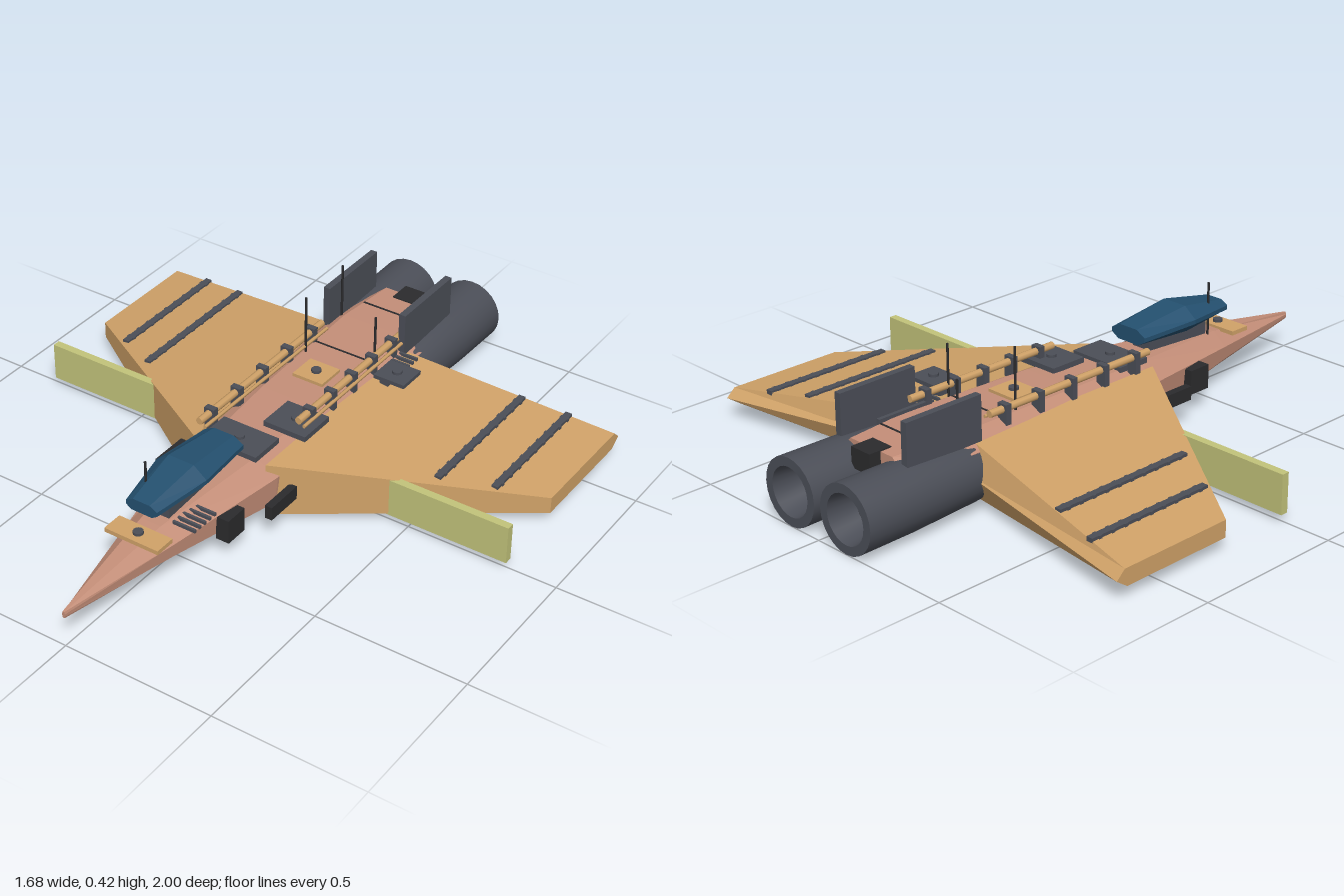
import * as THREE from 'three';
import { toCreasedNormals } from 'three/addons/utils/BufferGeometryUtils.js';

const mat = (name, color) => new THREE.MeshStandardMaterial({ name, color });

// Closed faceted solid through equal-length rings of [x, y, z] points.
function loft(rings) {
  const tris = [];
  const n = rings[0].length;
  for (let i = 0; i < rings.length - 1; i++) {
    for (let j = 0; j < n; j++) {
      const k = (j + 1) % n;
      const [a, b, c, d] = [rings[i][j], rings[i][k], rings[i + 1][k], rings[i + 1][j]];
      tris.push([a, b, c], [a, c, d]);
    }
  }
  const last = rings[rings.length - 1];
  for (let j = 1; j < n - 1; j++) {
    tris.push([rings[0][0], rings[0][j + 1], rings[0][j]], [last[0], last[j], last[j + 1]]);
  }
  // Signed volume decides which way the faces must wind
  const v = (p) => new THREE.Vector3(...p);
  const volume = tris.reduce((s, [a, b, c]) => s + v(a).dot(v(b).cross(v(c))), 0);
  if (volume < 0) tris.forEach((t) => t.reverse());
  const geo = new THREE.BufferGeometry();
  geo.setAttribute('position', new THREE.Float32BufferAttribute(tris.flat(2), 3));
  geo.computeVertexNormals();
  return geo;
}

export function createModel() {
  const model = new THREE.Group();
  model.name = 'spacecraft';
  const hull = mat('hullPink', 0xc48e78);
  const tan = mat('wingTan', 0xd0a268);
  const green = mat('panelGreen', 0xc2c37a);
  const grey = mat('engineGrey', 0x4b4e57);
  const dark = mat('fittingBlack', 0x2b2b2d);
  const blue = mat('canopyBlue', 0x24506f);

  const add = (name, geo, material) => {
    const mesh = new THREE.Mesh(geo, material);
    mesh.name = name;
    model.add(mesh);
    return mesh;
  };
  // Box given by its extents
  const box = (name, material, x0, x1, y0, y1, z0, z1) => {
    const geo = new THREE.BoxGeometry(x1 - x0, y1 - y0, z1 - z0);
    geo.translate((x0 + x1) / 2, (y0 + y1) / 2, (z0 + z1) / 2);
    return add(name, geo, material);
  };
  const rod = (name, material, r, x, y, z, length, alongZ, sides = 8) => {
    const geo = new THREE.CylinderGeometry(r, r, length, sides);
    if (alongZ) geo.rotateX(Math.PI / 2);
    geo.translate(x, y, z);
    return add(name, geo, material);
  };

  // Fuselage: z, half width, top half width, bottom half width, bottom, low, high, top
  const stations = [
    [1.0, 0.005, 0.003, 0.003, 0.104, 0.11, 0.118, 0.126],
    [0.6, 0.085, 0.035, 0.05, 0.065, 0.095, 0.14, 0.182],
    [0.2, 0.165, 0.085, 0.11, 0.026, 0.07, 0.165, 0.206],
    [-0.1, 0.175, 0.1, 0.13, 0.018, 0.07, 0.18, 0.218],
    [-0.58, 0.18, 0.11, 0.13, 0.014, 0.07, 0.185, 0.224],
    [-0.8, 0.13, 0.09, 0.08, 0.06, 0.09, 0.185, 0.222],
  ];
  add('fuselage', loft(stations.map(([z, w, t, b, y0, y1, y2, y3]) => [
    [-t, y3, z], [t, y3, z], [w, y2, z], [w * 0.95, y1, z],
    [b, y0, z], [-b, y0, z], [-w * 0.95, y1, z], [-w, y2, z],
  ])), hull);

  // Canopy: z, half width, flat half width, bottom, top
  add('canopy', loft([
    [0.64, 0.055, 0.03, 0.238, 0.278], [0.45, 0.09, 0.045, 0.23, 0.312], [0.24, 0.07, 0.035, 0.238, 0.288],
  ].map(([z, w, t, y0, y1]) => {
    const m = (y0 + y1) / 2;
    return [[-t, y1, z], [t, y1, z], [w, m + 0.006, z], [w, m - 0.008, z],
      [t * 1.2, y0, z], [-t * 1.2, y0, z], [-w, m - 0.008, z], [-w, m + 0.006, z]];
  })), blue);
  box('canopyMount', grey, -0.035, 0.035, 0.18, 0.24, 0.3, 0.56);

  const wingTop = (x) => 0.2 - 0.145 * (x - 0.15);
  for (const s of [1, -1]) {
    const side = s > 0 ? 'left' : 'right';
    const sideBox = (name, m, x0, x1, ...rest) =>
      box(side + name, m, Math.min(s * x0, s * x1), Math.max(s * x0, s * x1), ...rest);

    // Thick swept wing with a blunt trailing edge
    const wingRing = (x, lead, trail, y0, y1) => [
      [s * x, y1, lead], [s * x, y0, lead], [s * x, y0, trail + 0.04],
      [s * x, (y0 + y1) / 2, trail], [s * x, y1, trail + 0.03],
    ];
    add(side + 'Wing', loft([
      wingRing(0.13, 0.213, -0.57, 0.022, wingTop(0.13)),
      wingRing(0.84, -0.25, -0.68, 0.045, wingTop(0.84)),
    ]), tan);

    // Strips lying on the wing
    for (const [x, z0, z1] of [[0.54, -0.6, -0.09], [0.69, -0.63, -0.17]]) {
      const strip = sideBox('WingStrip', grey, x - 0.011, x + 0.011, wingTop(x) - 0.006, wingTop(x) + 0.008, z0, z1);
      for (let z = z0 + 0.03; z < z1; z += 0.05) {
        const rib = new THREE.Mesh(new THREE.BoxGeometry(0.028, 0.012, 0.012), grey);
        rib.name = 'stripRib';
        rib.position.set(s * x, wingTop(x) + 0.002, z);
        strip.add(rib);
      }
    }

    sideBox('CrossPanel', green, 0.43, 0.84, 0.028, 0.155, -0.013, 0.013);
    sideBox('TailFin', grey, 0.13, 0.153, 0.2, 0.345, -0.8, -0.52);
    sideBox('FrontPod', dark, 0.112, 0.158, 0.07, 0.15, 0.36, 0.44);
    sideBox('RearPod', dark, 0.188, 0.213, 0.09, 0.135, 0.17, 0.3);

    // Engine with a hollow nozzle
    const profile = [[0, 0.46], [0.08, 0.48], [0.095, 0.56], [0.105, 0.8], [0.107, 1],
      [0.078, 1], [0.064, 0.9]].map(([r, y]) => new THREE.Vector2(r, y));
    const engine = new THREE.LatheGeometry(profile, 24);
    engine.rotateX(-Math.PI / 2);
    engine.translate(s * 0.12, 0.11, 0);
    add(side + 'Engine', toCreasedNormals(engine, 0.6), grey);
    const core = new THREE.CircleGeometry(0.068, 10);
    core.rotateY(Math.PI);
    core.translate(s * 0.12, 0.11, -0.905);
    add(side + 'EngineCore', core, dark);
  }

  box('tailBox', dark, -0.04, 0.04, 0.16, 0.226, -0.84, -0.76);

  // Deck plates with a round cap on each
  const plates = [
    ['noseplate', tan, -0.09, 0.1, 0.172, 0.186, 0.63, 0.7],
    ['forwardPlate', grey, -0.1, 0.1, 0.204, 0.222, 0.1, 0.22],
    ['middlePlate', grey, 0.02, 0.17, 0.215, 0.233, -0.065, 0.065],
    ['centrePlate', tan, -0.055, 0.055, 0.217, 0.23, -0.3, -0.2],
    ['outerPlate', grey, 0.165, 0.275, 0.23, 0.243, -0.42, -0.32],
  ];
  for (const [name, m, x0, x1, y0, y1, z0, z1] of plates) {
    box(name, m, x0, x1, y0, y1, z0, z1);
    rod(name + 'Cap', grey, 0.016, (x0 + x1) / 2, y1 + 0.004, (z0 + z1) / 2, 0.01, false, 12);
  }
  box('outerPlateStand', grey, 0.17, 0.2, 0.17, 0.235, -0.39, -0.35);

  // Pipes along the deck held by clamps
  for (const [x, z0, z1] of [[-0.12, -0.46, 0.2], [0.122, -0.55, 0.03]]) {
    rod('deckPipe', tan, 0.012, x, 0.253, (z0 + z1) / 2, z1 - z0, true);
    rod('thinPipe', tan, 0.006, x + 0.02, 0.24, (z0 + z1) / 2, z1 - z0, true, 6);
    for (let i = 0; i < 5; i++) {
      const z = z0 + 0.06 + (i * (z1 - z0 - 0.12)) / 4;
      box('pipeClamp', grey, x - 0.018, x + 0.018, 0.19, 0.27, z - 0.01, z + 0.01);
    }
  }
  box('deckRail', grey, 0.105, 0.118, 0.21, 0.234, -0.68, -0.5);

  // Antennas: x, z, base, tip
  for (const [x, z, y0, y1] of [[-0.04, 0.565, 0.17, 0.358], [-0.097, -0.335, 0.21, 0.42],
    [0.115, -0.405, 0.21, 0.388], [-0.125, -0.585, 0.2, 0.402]]) {
    rod('antenna', dark, 0.004, x, (y0 + y1) / 2, z, y1 - y0, false, 6);
  }

  // Short rungs beside the canopy and on the rear deck
  for (let i = 0; i < 5; i++) {
    const z = 0.46 + i * 0.024;
    box('frontRung', grey, 0.05, 0.13, 0.175, 0.185, z, z + 0.008);
    box('rearRung', grey, 0.14, 0.205, 0.2, 0.21, z - 0.98, z - 0.972);
  }

  // Dark seams across the deck
  for (const [z, y, w] of [[-0.68, 0.2235, 0.1], [-0.4, 0.2218, 0.104]]) {
    box('deckSeam', dark, -w, w, y - 0.004, y + 0.002, z - 0.003, z + 0.003);
  }
  return model;
}
